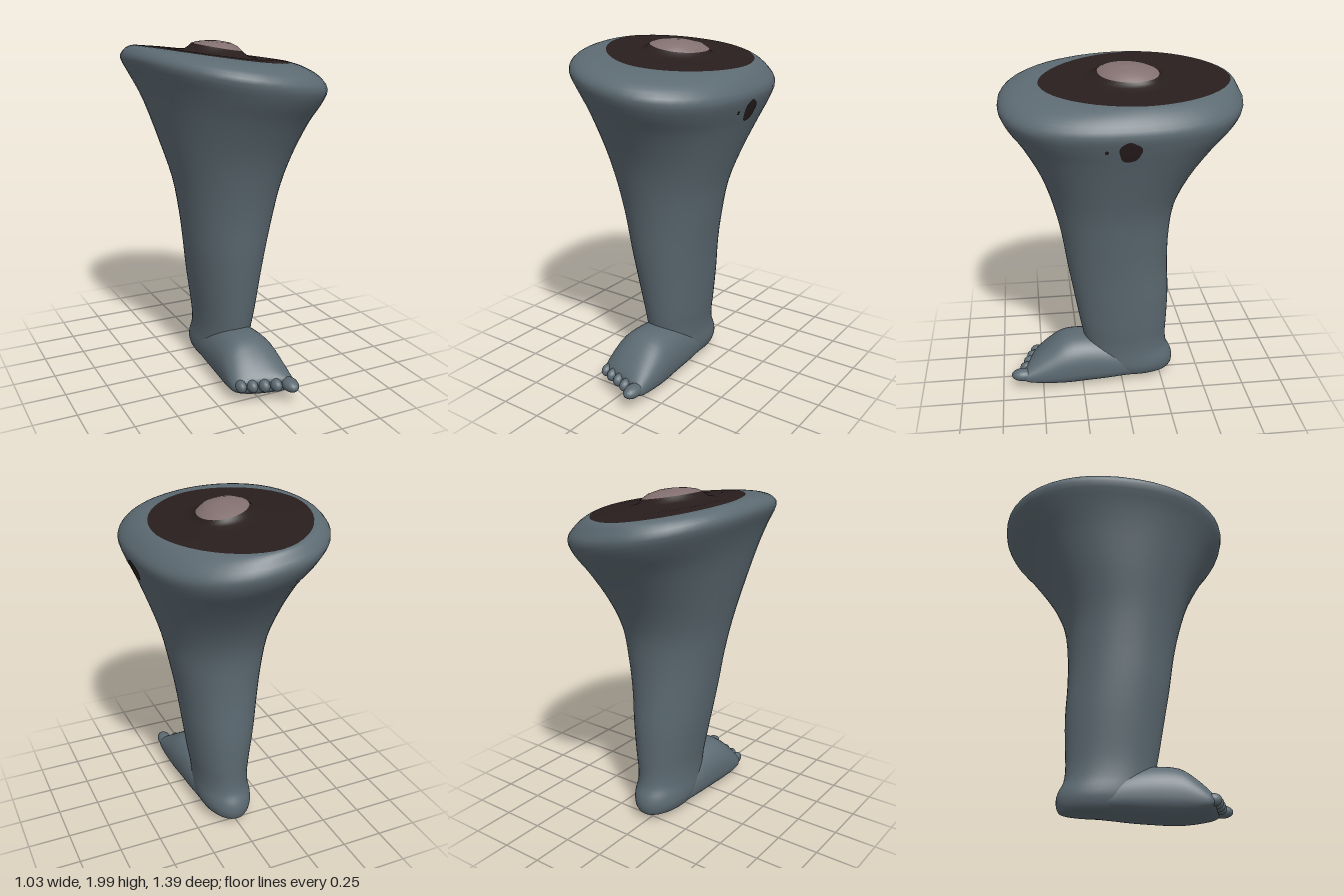
import * as THREE from 'three';

const SEG = 48;
const skin = new THREE.MeshStandardMaterial({ color: 0x5c6a72 });
skin.name = 'greySkin';
const flesh = new THREE.MeshStandardMaterial({ color: 0x291e1e });
flesh.name = 'darkFlesh';
const bone = new THREE.MeshStandardMaterial({ color: 0x837070 });
bone.name = 'paleBone';

// Smoothly resample rows of section numbers
function refine(rows, steps) {
  const out = [];
  const at = (i) => rows[Math.min(rows.length - 1, Math.max(0, i))];
  for (let i = 0; i < rows.length - 1; i++) {
    for (let s = 0; s < steps; s++) {
      const t = s / steps;
      out.push(rows[i].map((b, k) => {
        const a = at(i - 1)[k], c = at(i + 1)[k], d = at(i + 2)[k];
        return b + 0.5 * t * (c - a + t * (2 * a - 5 * b + 4 * c - d + t * (3 * (b - c) + d - a)));
      }));
    }
  }
  out.push(rows[rows.length - 1]);
  return out;
}

// Closed loops of points skinned into a smooth tube
function loft(rows, place) {
  const pos = [], idx = [];
  rows.forEach((row, i) => {
    for (let j = 0; j < SEG; j++) {
      const a = (j / SEG) * Math.PI * 2;
      pos.push(...place(row, Math.cos(a), Math.sin(a)));
      if (i === rows.length - 1) continue;
      const p = i * SEG + j, q = i * SEG + ((j + 1) % SEG);
      idx.push(p, p + SEG, q, q, p + SEG, q + SEG);
    }
  });
  const g = new THREE.BufferGeometry();
  g.setAttribute('position', new THREE.Float32BufferAttribute(pos, 3));
  g.setIndex(idx);
  g.computeVertexNormals();
  return g;
}

const squarish = (v, n) => Math.sign(v) * Math.pow(Math.abs(v), 2 / n);

// Leg section row: height, tilt, left x, right x, back z, front z, squareness, skew
function legPoint([y, tilt, x0, x1, z0, z1, n, skew], c, s) {
  const z = (z0 + z1) / 2 + ((z1 - z0) / 2) * squarish(s, n);
  const x = (x0 + x1) / 2 + ((x1 - x0) / 2) * squarish(c, n);
  return [x + skew * z, y - tilt * (x + 0.3 * z * z), z];
}

// Foot section row: z, slant, sole y, top y, left x, right x
function footPoint([z, slant, y0, y1, x0, x1], c, s) {
  const mid = y0 + (y1 - y0) * 0.42;
  const y = s > 0 ? mid - (mid - y0) * squarish(s, 2.8) : mid + (y1 - mid) * squarish(-s, 2.1);
  const x = (x0 + x1) / 2 + ((x1 - x0) / 2) * squarish(c, 2.3);
  return [x, y, z + slant * x];
}

export function createModel() {
  const group = new THREE.Group();
  const add = (name, geometry, material) => {
    const m = new THREE.Mesh(geometry, material);
    m.name = name;
    group.add(m);
    return m;
  };

  // Leg and heel, flaring from the ankle to a rolled rim
  const skinEdge = [1.922, 0.125, -0.42, 0.4, -0.635, 0.455, 1.85, 0.08];
  const leg = add('leg', loft(refine([
    [0.04, 0, 0, 0.02, -0.1, -0.08, 2.1, 0],
    [0.04, 0, -0.09, 0.11, -0.285, 0.12, 2.1, 0],
    [0.06, 0, -0.125, 0.15, -0.322, 0.16, 2.1, 0],
    [0.11, 0, -0.145, 0.172, -0.332, 0.18, 2.1, 0],
    [0.16, 0, -0.147, 0.175, -0.322, 0.2, 2.1, 0],
    [0.22, 0, -0.143, 0.174, -0.293, 0.215, 2.1, 0],
    [0.30, 0, -0.145, 0.18, -0.284, 0.23, 2.1, 0],
    [0.40, 0, -0.157, 0.195, -0.288, 0.25, 2.1, 0],
    [0.60, 0, -0.19, 0.22, -0.294, 0.285, 2.1, 0],
    [0.80, 0, -0.22, 0.245, -0.285, 0.32, 2.1, 0],
    [1.00, 0.01, -0.25, 0.28, -0.288, 0.35, 2.1, 0],
    [1.20, 0.03, -0.29, 0.32, -0.315, 0.395, 2.1, 0],
    [1.40, 0.07, -0.35, 0.38, -0.405, 0.46, 2.15, 0.01],
    [1.61, 0.11, -0.415, 0.45, -0.55, 0.565, 2.2, 0.02],
    [1.73, 0.14, -0.465, 0.49, -0.65, 0.64, 2.25, 0.04],
    [1.825, 0.15, -0.511, 0.513, -0.695, 0.68, 2.28, 0.05],
    [1.882, 0.14, -0.492, 0.473, -0.672, 0.645, 2.2, 0.055],
    [1.912, 0.13, -0.455, 0.428, -0.652, 0.56, 2.02, 0.065],
    skinEdge,
  ], 3), legPoint), skin);

  // Cut face rising to the bone
  const boneEdge = [1.958, 0.17, -0.155, 0.14, -0.215, 0.125, 2.1, -0.12];
  add('cutFlesh', loft([
    skinEdge,
    [1.925, 0.125, -0.33, 0.31, -0.46, 0.33, 1.9, 0.05],
    [1.92, 0.125, -0.24, 0.22, -0.31, 0.23, 2, 0],
    [1.93, 0.13, -0.19, 0.17, -0.25, 0.175, 2, -0.06],
    [1.945, 0.15, -0.168, 0.15, -0.228, 0.143, 2.1, -0.1],
    boneEdge,
  ], legPoint), flesh);

  add('boneEnd', loft([
    boneEdge,
    [1.976, 0.13, -0.125, 0.11, -0.18, 0.1, 2.1, -0.12],
    [1.988, 0.1, -0.08, 0.07, -0.12, 0.055, 2.1, -0.1],
    [1.996, 0.1, 0, 0, -0.03, -0.03, 2, 0],
  ], legPoint), bone);

  // Foot, growing out of the heel towards the ball
  add('foot', loft(refine([
    [-0.22, 0, 0.08, 0.08, 0.01, 0.01],
    [-0.21, 0, 0.045, 0.13, -0.08, 0.105],
    [-0.10, 0, 0.03, 0.2, -0.13, 0.155],
    [0.00, 0, 0.02, 0.265, -0.145, 0.172],
    [0.10, 0, 0.011, 0.3, -0.152, 0.181],
    [0.22, 0, 0.005, 0.318, -0.158, 0.187],
    [0.35, 0, 0.003, 0.31, -0.165, 0.195],
    [0.445, 0.1, 0.015, 0.255, -0.167, 0.195],
    [0.52, 0.23, 0.035, 0.195, -0.164, 0.19],
    [0.558, 0.3, 0.058, 0.158, -0.154, 0.182],
    [0.571, 0.3, 0.08, 0.135, -0.13, 0.155],
    [0.573, 0.3, 0.11, 0.11, 0.01, 0.01],
  ], 3), footPoint), skin);

  // Toes: x, z, half width, half height, half length
  [
    [0.142, 0.624, 0.045, 0.038, 0.07],
    [0.068, 0.596, 0.032, 0.037, 0.045],
    [0.003, 0.573, 0.032, 0.038, 0.045],
    [-0.062, 0.55, 0.031, 0.037, 0.045],
    [-0.122, 0.526, 0.03, 0.036, 0.045],
  ].forEach(([x, z, w, h, len], i) => {
    const toe = add(i ? 'smallToe' : 'bigToe', new THREE.SphereGeometry(1, 20, 14), skin);
    toe.scale.set(w, h, len);
    toe.position.set(x, 0.11, z);
  });

  // Dark sores laid on the left side of the leg
  const ray = new THREE.Raycaster();
  const inward = new THREE.Vector3(-1, 0, 0);
  leg.updateMatrixWorld();
  [[0.005, 1.66, 0.06], [0.127, 1.663, 0.011]].forEach(([z, y, r]) => {
    const g = new THREE.RingGeometry(0.001, r, 20, 3);
    const p = g.attributes.position;
    for (let i = 0; i < p.count; i++) {
      const a = Math.atan2(p.getY(i), p.getX(i));
      const wob = 1 + 0.05 * Math.sin(3 * a + 1) + 0.04 * Math.sin(5 * a);
      const py = y + p.getY(i) * wob, pz = z - p.getX(i) * wob;
      ray.set(new THREE.Vector3(2, py, pz), inward);
      p.setXYZ(i, ray.intersectObject(leg)[0].point.x + 0.005, py, pz);
    }
    g.computeVertexNormals();
    add('sore', g, flesh);
  });

  return group;
}
